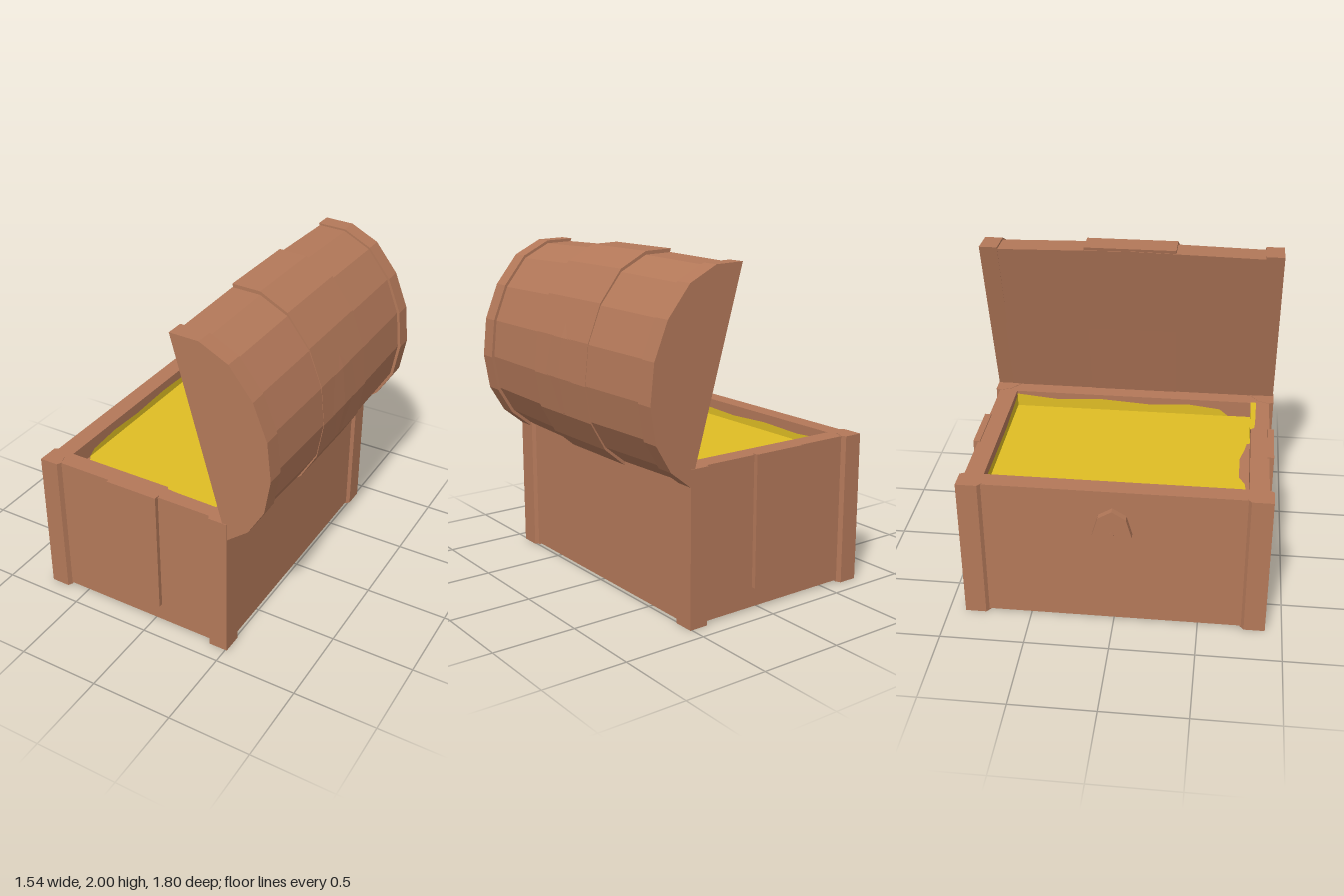
import * as THREE from 'three';

const CX = -0.12; // centre of the box in x
const FLOOR = 0.8; // height of the treasure
const RIM = 0.91;

const toShape = (pts) => new THREE.Shape(pts.map(([x, y]) => new THREE.Vector2(x, y)));
const rect = (hx, hz) => [[CX - hx, -hz], [CX + hx, -hz], [CX + hx, hz], [CX - hx, hz]];

// plan outline (x, -z) extruded upward from y0 to y1
function upright(shape, y0, y1) {
  return new THREE.ExtrudeGeometry(shape, { depth: y1 - y0, bevelEnabled: false })
    .rotateX(-Math.PI / 2).translate(0, y0, 0);
}

// lid outline in (x, y); the first and last points bound the flat underside
const LID = [[0.175, 1.985], [0.35, 1.98], [0.52, 1.895], [0.66, 1.72], [0.745, 1.51],
  [0.77, 1.28], [0.735, 1.07], [0.64, 0.91], [0.51, 0.805]];
const PIVOT = [0.34, 1.4];

// slice of the lid between z0 and z1, scaled about the middle of its underside
function lidSlice(z0, z1, scale) {
  const geo = new THREE.ExtrudeGeometry(toShape(LID), { depth: z1 - z0, steps: 2, bevelEnabled: false });
  geo.translate(0, 0, z0);
  const p = geo.attributes.position;
  for (let i = 0; i < p.count; i++) {
    const [sx, sy] = scale(p.getZ(i));
    p.setX(i, PIVOT[0] + (p.getX(i) - PIVOT[0]) * sx);
    p.setY(i, PIVOT[1] + (p.getY(i) - PIVOT[1]) * sy);
  }
  geo.computeVertexNormals();
  return geo;
}

export function createModel() {
  const wood = new THREE.MeshStandardMaterial({ color: 0xb37859 });
  wood.name = 'wood';
  const gold = new THREE.MeshStandardMaterial({ color: 0xdfbd24, side: THREE.DoubleSide });
  gold.name = 'gold';

  const model = new THREE.Group();
  model.name = 'treasureChest';
  const add = (name, geo, mat = wood) => {
    const mesh = new THREE.Mesh(geo, mat);
    mesh.name = name;
    model.add(mesh);
    return mesh;
  };

  // hollow box and raised floor
  const walls = toShape(rect(0.61, 0.873));
  walls.holes.push(toShape(rect(0.5, 0.76)));
  add('boxWalls', upright(walls, 0.012, RIM - 0.002));
  add('boxFloor', new THREE.BoxGeometry(1.0, FLOOR - 0.012, 1.52).translate(CX, (FLOOR + 0.012) / 2, 0));

  // chamfered corner posts and end plates
  const POST = [[0.63, 0.9], [0.515, 0.9], [0.5, 0.87], [0.53, 0.8], [0.6, 0.75], [0.63, 0.775]];
  for (const sz of [1, -1]) {
    for (const sx of [1, -1]) {
      add('cornerPost', upright(toShape(POST.map(([x, z]) => [CX + sx * x, sz * z])), 0, RIM));
    }
    add('endPlate', new THREE.BoxGeometry(0.33, 0.785, 0.04).translate(-0.115, 0.5225, sz * 0.88));
  }

  // faceted oval lock with a small boss
  const oval = (ry, rz) => toShape(Array.from({ length: 8 }, (_, i) => {
    const a = (i * Math.PI) / 4;
    return [rz * Math.sin(a), ry * Math.cos(a)];
  }));
  const lockPart = (name, ry, rz, depth) => {
    const geo = new THREE.ExtrudeGeometry(oval(ry, rz), { depth, bevelEnabled: false });
    add(name, geo.rotateY(-Math.PI / 2).translate(-0.72, 0.63, -0.005));
  };
  lockPart('lockPlate', 0.17, 0.115, 0.05);
  lockPart('lockBoss', 0.035, 0.015, 0.055);

  // lid barrel, swelling toward the middle, with three bands
  add('lidBarrel', lidSlice(-0.8, 0.8, (z) => {
    const s = 1.0 - 0.038 * Math.abs(z);
    return [s - 0.01, s];
  }));
  add('lidEndBand', lidSlice(0.79, 0.897, () => [1, 1]));
  add('lidEndBand', lidSlice(-0.897, -0.79, () => [1, 0.99]));
  add('lidMiddleBand', lidSlice(-0.275, 0.27, () => [0.985, 1.025]));

  // treasure surface with a ragged edge near the front
  const edge = [[0.38, 0.76], [0.05, 0.76], [0.04, 0.74], [-0.02, 0.73], [-0.14, 0.7], [-0.34, 0.7],
    [-0.41, 0.735], [-0.46, 0.74], [-0.53, 0.72], [-0.57, 0.68], [-0.62, 0.6], [-0.62, -0.76], [0.38, -0.76]];
  const flat = (pts) => new THREE.ShapeGeometry(toShape(pts.map(([x, z]) => [x, -z]))).rotateX(-Math.PI / 2);
  add('treasure', flat(edge).translate(0, FLOOR + 0.004, 0), gold);
  add('rimSpill', flat([[0.04, 0.755], [0.06, 0.78], [0.11, 0.785], [0.38, 0.79], [0.38, 0.755]])
    .translate(0, RIM + 0.001, 0), gold);

  // gold heaped against the inner walls, outlines in (run, height above the floor)
  const heap = (pts) => new THREE.ShapeGeometry(toShape(pts));
  const long = [[-0.76, 0], [0.62, 0], [0.56, 0.05], [0.35, 0.075], [0.1, 0.06], [-0.2, 0.08], [-0.5, 0.065], [-0.76, 0.09]];
  add('goldBackWall', heap(long).rotateY(-Math.PI / 2).translate(0.377, FLOOR, 0), gold);
  add('goldLockWall', heap(long.map(([z, y]) => [z, y * 0.7])).rotateY(-Math.PI / 2).translate(-0.617, FLOOR, 0), gold);
  add('goldFrontWall', heap([[0.05, 0], [0.38, 0], [0.38, 0.107], [0.07, 0.107], [0.04, 0.06]])
    .translate(0, FLOOR, 0.757), gold);
  add('goldRearWall', heap([[-0.62, 0], [0.38, 0], [0.38, 0.08], [0, 0.05], [-0.62, 0.06]])
    .translate(0, FLOOR, -0.757), gold);

  return model;
}
